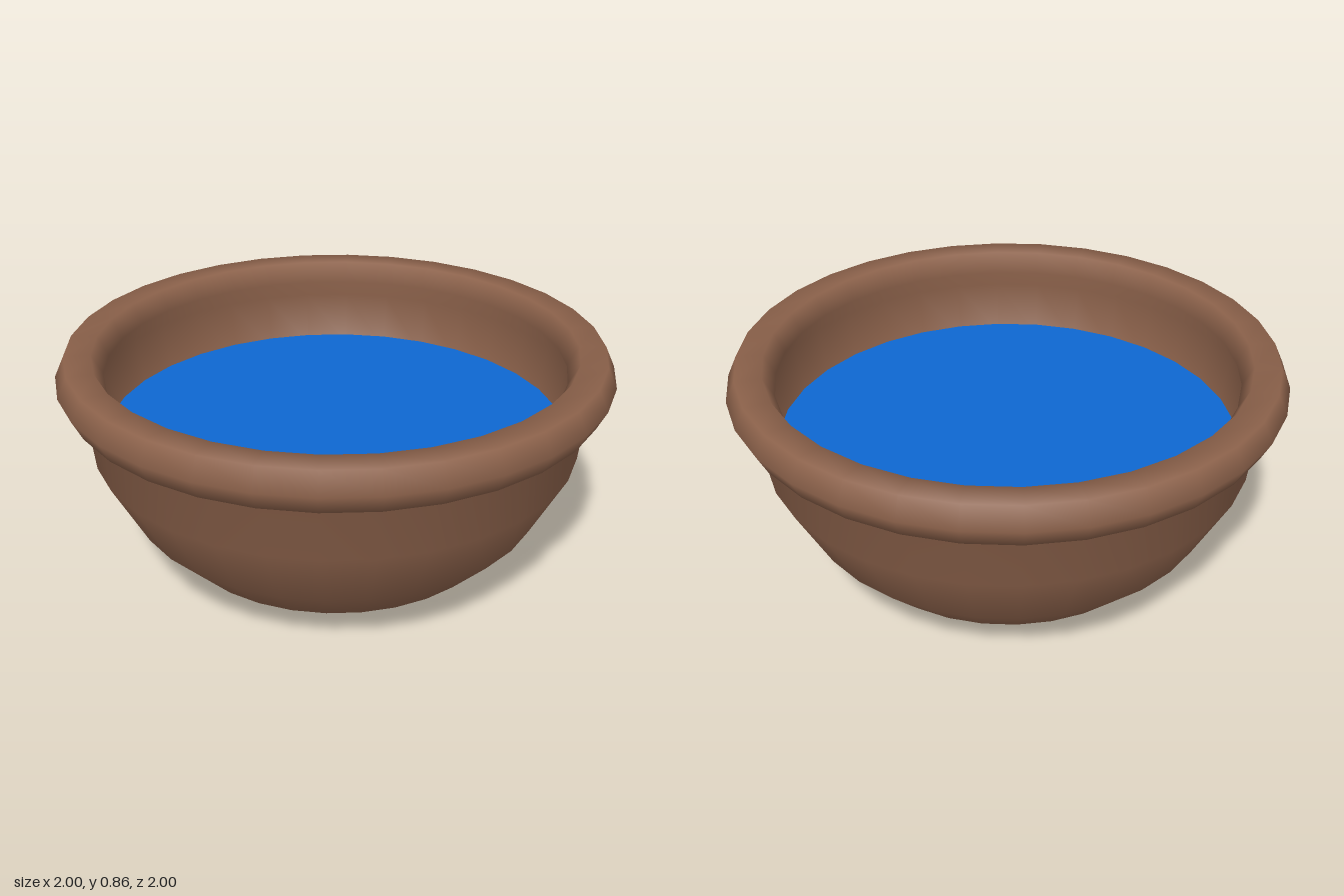
import * as THREE from 'three';

const SIDES = 32;
const WATER_LEVEL = 0.54;

export function createModel() {
  const model = new THREE.Group();
  model.name = 'waterBowl';

  const clay = new THREE.MeshStandardMaterial({ color: 0x8b614a });
  clay.name = 'brown clay';
  const blue = new THREE.MeshStandardMaterial({ color: 0x0d67d0 });
  blue.name = 'water blue';

  // Bowl: one smooth turned profile, up the outside, around the rim, down the inside
  const profile = [
    [0, 0], [0.4, 0], [0.62, 0.11], [0.765, 0.26], [0.89, 0.5], [0.912, 0.715], // outer wall
    [0.965, 0.715], [1, 0.785], [0.965, 0.86], [0.87, 0.86], [0.832, 0.785],    // rim
    [0.87, 0.715], [0.84, 0.5], [0.72, 0.3], [0.58, 0.16], [0.38, 0.06], [0, 0.06], // inner wall
  ].map(([r, y]) => new THREE.Vector2(r, y));
  const bowl = new THREE.Mesh(new THREE.LatheGeometry(profile, SIDES), clay);
  bowl.name = 'bowl';
  model.add(bowl);

  // Water: flat disc meeting the inner wall
  const water = new THREE.Mesh(new THREE.CircleGeometry(0.845, SIDES), blue);
  water.name = 'water';
  water.rotation.x = -Math.PI / 2;
  water.position.y = WATER_LEVEL;
  model.add(water);

  return model;
}
